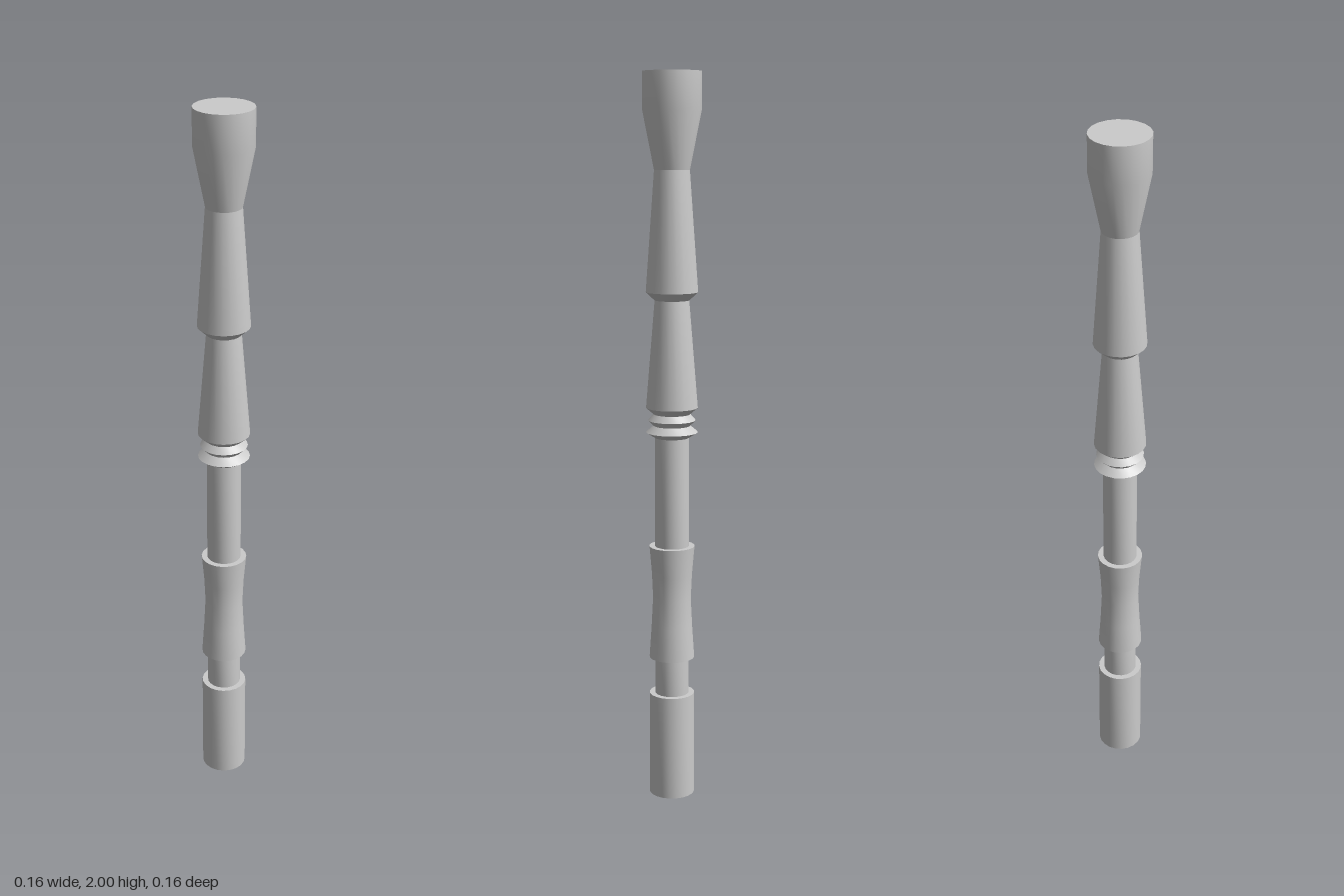
import * as THREE from 'three';
import { toCreasedNormals } from 'three/addons/utils/BufferGeometryUtils.js';

const SIDES = 20;
const SHAFT = 0.047; // radius of the plain shaft

export function createModel() {
  const group = new THREE.Group();
  group.name = 'turnedPost';
  const material = new THREE.MeshStandardMaterial({ color: 0xcccccc });

  // Turns a [radius, height] profile, listed from bottom to top
  function turn(name, profile) {
    const points = profile.map(([r, y]) => new THREE.Vector2(r, y));
    const geometry = toCreasedNormals(new THREE.LatheGeometry(points, SIDES), 0.5);
    const mesh = new THREE.Mesh(geometry, material);
    mesh.name = name;
    group.add(mesh);
  }

  // Plain foot with a flat bottom and a shoulder
  turn('foot', [[0, 0], [0.063, 0], [0.063, 0.295], [SHAFT, 0.295]]);
  turn('lowerShaft', [[SHAFT, 0.295], [SHAFT, 0.4]]);

  // Waisted sleeve
  turn('sleeve', [
    [SHAFT, 0.4], [0.063, 0.4], [0.057, 0.49], [0.053, 0.57],
    [0.056, 0.64], [0.063, 0.72], [SHAFT, 0.72],
  ]);
  turn('middleShaft', [[SHAFT, 0.72], [SHAFT, 1.025]]);

  // Ring beads below the flares
  turn('beads', [
    [SHAFT, 1.025], [0.071, 1.04], [0.05, 1.058],
    [0.065, 1.073], [0.05, 1.09],
  ]);

  // Two stacked flares, widest near their lower ends
  turn('lowerFlare', [[0.05, 1.09], [0.071, 1.108], [SHAFT, 1.4]]);
  turn('upperFlare', [[SHAFT, 1.4], [0.071, 1.422], [0.048, 1.745]]);

  // Head widening to a cylinder with a flat top
  turn('head', [[0.048, 1.745], [0.079, 1.9], [0.079, 2], [0, 2]]);

  return group;
}
